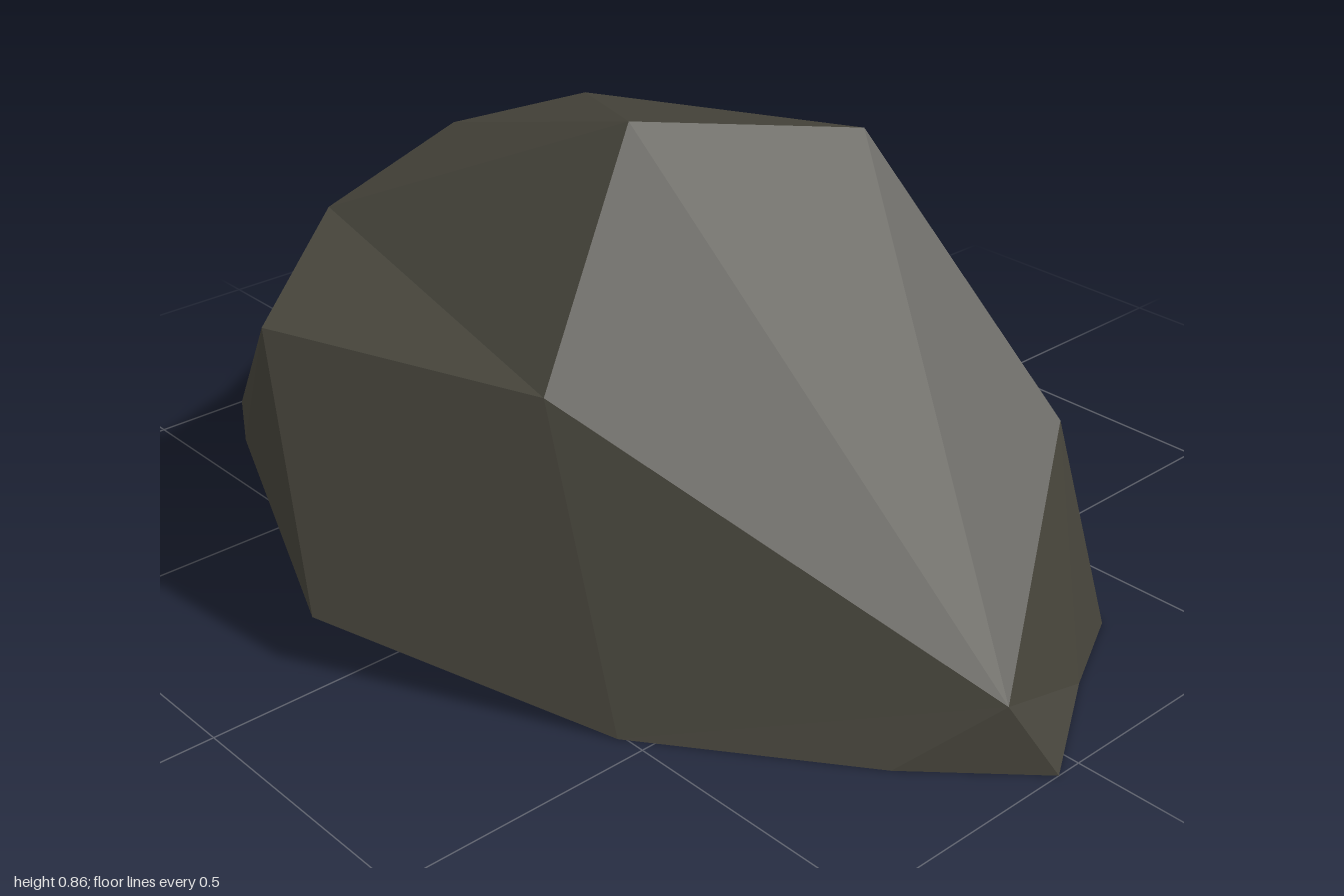
import * as THREE from 'three';

// Corners of the ground rim, going round from the left side past the back
const rim = {
  a: [1, 0, 0.05], b: [0.86, 0, -0.18], c: [0.77, 0, -0.36], d: [0.36, 0, -0.48],
  e: [0.25, 0, -0.55], f: [0.04, 0, -0.757], g: [-0.41, 0, -0.69], h: [-0.46, 0, -0.61],
  i: [-0.675, 0, -0.39], j: [-0.8, 0, -0.3], k: [-0.92, 0, -0.12], l: [-0.87, 0, -0.02],
  m: [-1, 0, 0.31], n: [-0.74, 0.065, 0.46], o: [-0.06, 0.1, 0.757], p: [0.45, 0, 0.51],
  q: [0.81, 0, 0.24],
};

// Corners of the upper facets
const crown = {
  A: [0.01, 0.855, 0.09], B: [0.14, 0.765, -0.37], C: [0.7, 0.41, -0.28],
  D: [0.08, 0.45, -0.63], E: [0.92, 0.11, 0.09], F: [-0.44, 0.65, 0.42],
  G: [0.18, 0.5, 0.43], H: [-0.29, 0.54, 0.67], I: [-0.51, 0.71, 0.08],
  J: [-0.78, 0.49, -0.01], K: [-0.65, 0.43, 0.11], L: [-0.45, 0.72, -0.2],
  M: [-0.39, 0.16, -0.68], N: [-0.76, 0.34, -0.34], O: [-0.93, 0.18, -0.22],
};

// Each fan is a hub corner followed by the corners around it
const fans = [
  'AILBEGFI', // summit
  'LIJNMDB',  // back right shoulder
  'CEBDedcbE', // left shoulder
  'EbaqpG',   // left toe
  'DMfe', 'MNihgf', // back wall
  'NJOji', 'OJlkj', 'JIKml', // right wall and notch
  'FGHmKI', 'HGonm', 'Gpo', // front wall
];

function fanGeometry(points, list) {
  const positions = [];
  for (const [hub, ...ring] of list) {
    for (let s = 0; s < ring.length - 1; s++) {
      positions.push(...points[hub], ...points[ring[s + 1]], ...points[ring[s]]);
    }
  }
  const geometry = new THREE.BufferGeometry();
  geometry.setAttribute('position', new THREE.Float32BufferAttribute(positions, 3));
  geometry.computeVertexNormals(); // unshared corners give flat facets
  return geometry;
}

export function createModel() {
  const stone = new THREE.MeshStandardMaterial({
    color: 0x444239, flatShading: true, side: THREE.DoubleSide,
  });
  stone.name = 'darkStone';

  // Hollow boulder shell, open underneath
  const boulder = new THREE.Mesh(fanGeometry({ ...rim, ...crown }, fans), stone);
  boulder.name = 'boulder';

  const group = new THREE.Group();
  group.name = 'rock';
  group.add(boulder);
  return group;
}
